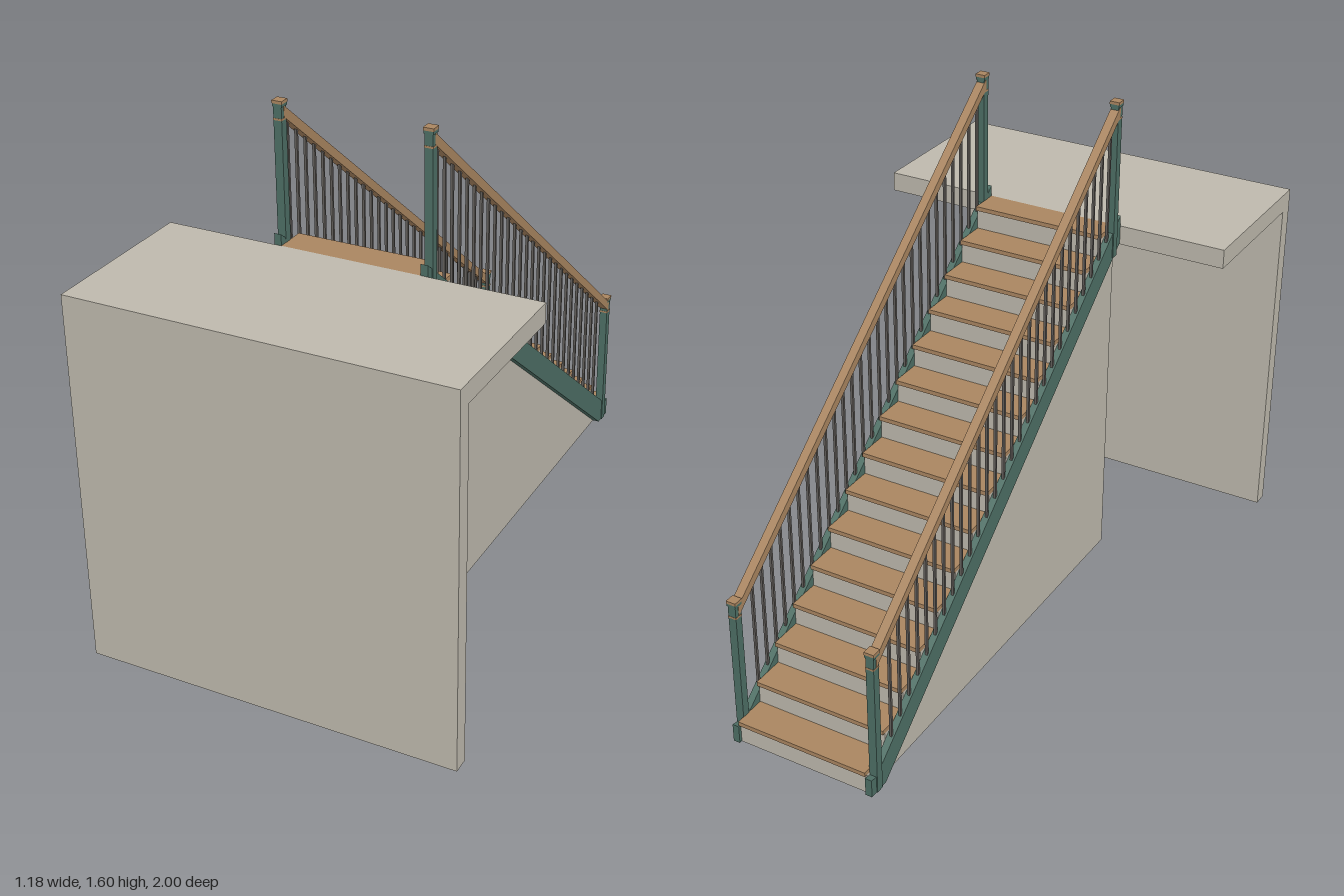
import * as THREE from 'three';

export function createModel() {
  const model = new THREE.Group();
  model.name = 'staircase';

  const mat = (name, color) => {
    const m = new THREE.MeshStandardMaterial({ color });
    m.name = name;
    return m;
  };
  const concrete = mat('concrete', 0xbdb8ac);
  const wood = mat('wood', 0xa98560);
  const green = mat('green paint', 0x4d6e64);
  const metal = mat('dark metal', 0x625e5a);

  const add = (name, geometry, material) => {
    const mesh = new THREE.Mesh(geometry, material);
    mesh.name = name;
    model.add(mesh);
    return mesh;
  };
  // box given by its min and max on each axis
  const box = (name, material, x0, x1, y0, y1, z0, z1) => {
    const mesh = add(name, new THREE.BoxGeometry(x1 - x0, y1 - y0, z1 - z0), material);
    mesh.position.set((x0 + x1) / 2, (y0 + y1) / 2, (z0 + z1) / 2);
    return mesh;
  };
  // side profile of [z, y] points, extruded across x0..x1
  const profile = (name, material, points, x0, x1) => {
    const shape = new THREE.Shape(points.map(([z, y]) => new THREE.Vector2(-z, y)));
    const g = new THREE.ExtrudeGeometry(shape, { depth: x1 - x0, bevelEnabled: false });
    g.rotateY(Math.PI / 2);
    g.translate(x0, 0, 0);
    return add(name, g, material);
  };

  const steps = 15, zTop = 0.47, zBottom = -1, height = 1.18;
  const going = (zTop - zBottom) / steps;
  const rise = height / steps;
  const slope = rise / going;
  const treadThick = 0.014, nosing = 0.01, half = 0.219;

  // upper landing with its supporting wall
  box('landingSlab', concrete, -0.59, 0.59, 1.118, height, zTop, 1);
  box('landingWall', concrete, -0.59, 0.59, 0, 1.118, 0.95, 1);

  // solid stepped body
  const stepped = [[zTop, 0], [zBottom + nosing, 0]];
  for (let i = 0; i < steps; i++) {
    const y = (i + 1) * rise - treadThick;
    stepped.push([zBottom + i * going + nosing, y]);
    stepped.push([i === steps - 1 ? zTop : zBottom + (i + 1) * going + nosing, y]);
  }
  profile('stairBody', concrete, stepped, -half, half);

  // wooden treads with a small nosing
  for (let i = 0; i < steps; i++) {
    const z = zBottom + i * going, y = (i + 1) * rise;
    box('tread', wood, -half, half, y - treadThick, y, z, Math.min(z + going + nosing, zTop));
  }

  // heights of the sloped edges at a given z
  const stringerTop = z => 1.215 - slope * (zTop - z);
  const stringerLow = z => 1.122 - slope * (zTop - z);
  const railTop = z => 1.587 - slope * (0.432 - z);
  const railThick = 0.034;
  const zLow = -0.962, zHigh = 0.432;

  for (const side of [-1, 1]) {
    const span = (a, b) => (side > 0 ? [a, b] : [-b, -a]);
    const mid = side * 0.231;

    // sloped stringer
    profile('stringer', green, [
      [zTop, stringerLow(zTop)], [zTop, stringerTop(zTop)],
      [-0.975, stringerTop(-0.975)], [zBottom, 0.06], [zBottom, 0],
      [zTop - stringerLow(zTop) / slope, 0],
    ], ...span(half, 0.241));

    // end posts, each with a collar and a cap
    for (const [z, base, top] of [[zLow, 0, 0.487], [zHigh, stringerLow(zHigh), 1.603]]) {
      const post = (name, m, r, y0, y1) => box(name, m, mid - r, mid + r, y0, y1, z - r, z + r);
      post('post', green, 0.013, base, top - 0.012);
      post('postCollar', wood, 0.0138, top - 0.058, top - 0.052);
      post('postNeck', green, 0.015, top - 0.018, top - 0.009);
      post('postCap', wood, 0.016, top - 0.009, top);
    }

    // handrail
    profile('handrail', wood, [
      [zHigh, railTop(zHigh) - railThick], [zHigh, railTop(zHigh)],
      [zLow, railTop(zLow)], [zLow, railTop(zLow) - railThick],
    ], ...span(0.217, 0.245));

    // balusters
    for (let i = 0; i < 27; i++) {
      const z = 0.396 - i * going / 2;
      box('baluster', metal, mid - 0.004, mid + 0.004,
        stringerTop(z) - 0.02, railTop(z) - railThick / 2, z - 0.004, z + 0.004);
    }
  }
  return model;
}
